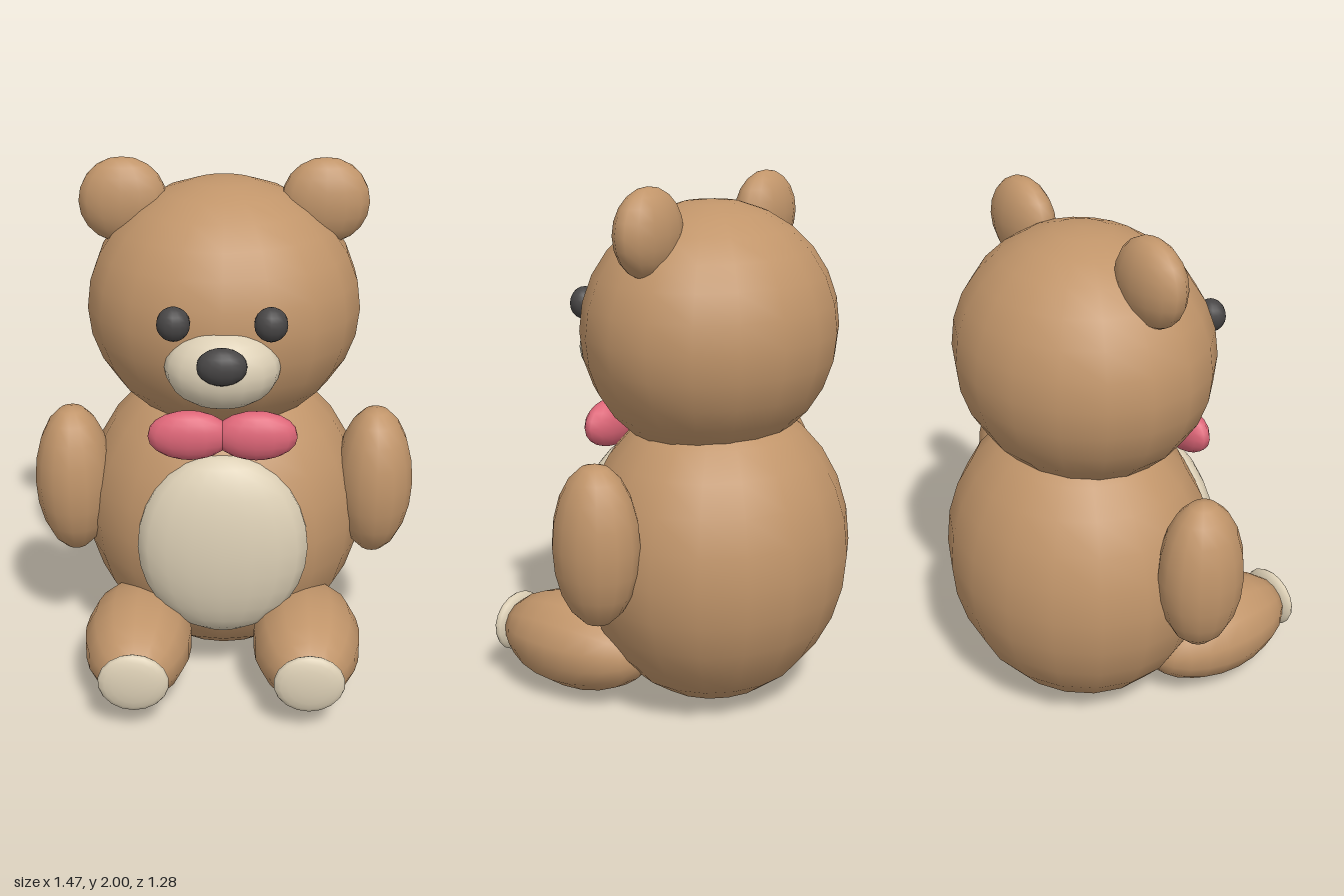
import * as THREE from 'three';

export function createModel() {
  const bear = new THREE.Group();
  bear.name = 'teddyBear';

  const material = (name, color) => {
    const m = new THREE.MeshStandardMaterial({ color });
    m.name = name;
    return m;
  };
  const fur = material('brownFur', 0xc1956a);
  const cream = material('creamPlush', 0xdccfb5);
  const dark = material('darkPlastic', 0x474545);
  const pink = material('pinkRibbon', 0xde6678);

  // A stuffed ellipsoid; the seam vertices sit on the front and back
  const ellipsoid = (name, mat, center, radii, w = 14, h = 10, alongZ = false) => {
    const g = new THREE.SphereGeometry(1, w, h, Math.PI / 2);
    if (alongZ) g.rotateX(Math.PI / 2);
    g.scale(...radii);
    const mesh = new THREE.Mesh(g, mat);
    mesh.name = name;
    mesh.position.set(...center);
    bear.add(mesh);
  };

  // Torso and head
  ellipsoid('body', fur, [0, 0.605, -0.14], [0.55, 0.6, 0.5], 18, 14);
  ellipsoid('belly', cream, [0, 0.605, 0.25], [0.325, 0.37, 0.14], 18, 14);
  ellipsoid('head', fur, [0, 1.45, -0.11], [0.515, 0.475, 0.465], 18, 14);

  // Face
  ellipsoid('muzzle', cream, [0, 1.34, 0.3], [0.207, 0.15, 0.143], 16, 12);
  ellipsoid('nose', dark, [0, 1.392, 0.43], [0.09, 0.068, 0.054]);

  // Paired parts
  for (const [side, s] of [['left', 1], ['right', -1]]) {
    ellipsoid(side + 'Ear', fur, [s * 0.372, 1.84, -0.105], [0.165, 0.16, 0.092]);
    ellipsoid(side + 'Eye', dark, [s * 0.17, 1.52, 0.352], [0.06, 0.062, 0.052]);
    ellipsoid(side + 'BowLoop', pink, [s * 0.123, 1.06, 0.264], [0.154, 0.095, 0.062]);
    ellipsoid(side + 'Arm', fur, [s * 0.586, 0.75, -0.025], [0.151, 0.304, 0.166]);
    ellipsoid(side + 'Leg', fur, [s * 0.323, 0.215, 0.292], [0.208, 0.186, 0.335], 14, 12, true);
    ellipsoid(side + 'FootPad', cream, [s * 0.323, 0.217, 0.603], [0.132, 0.119, 0.036], 18, 10, true);
  }
  return bear;
}
